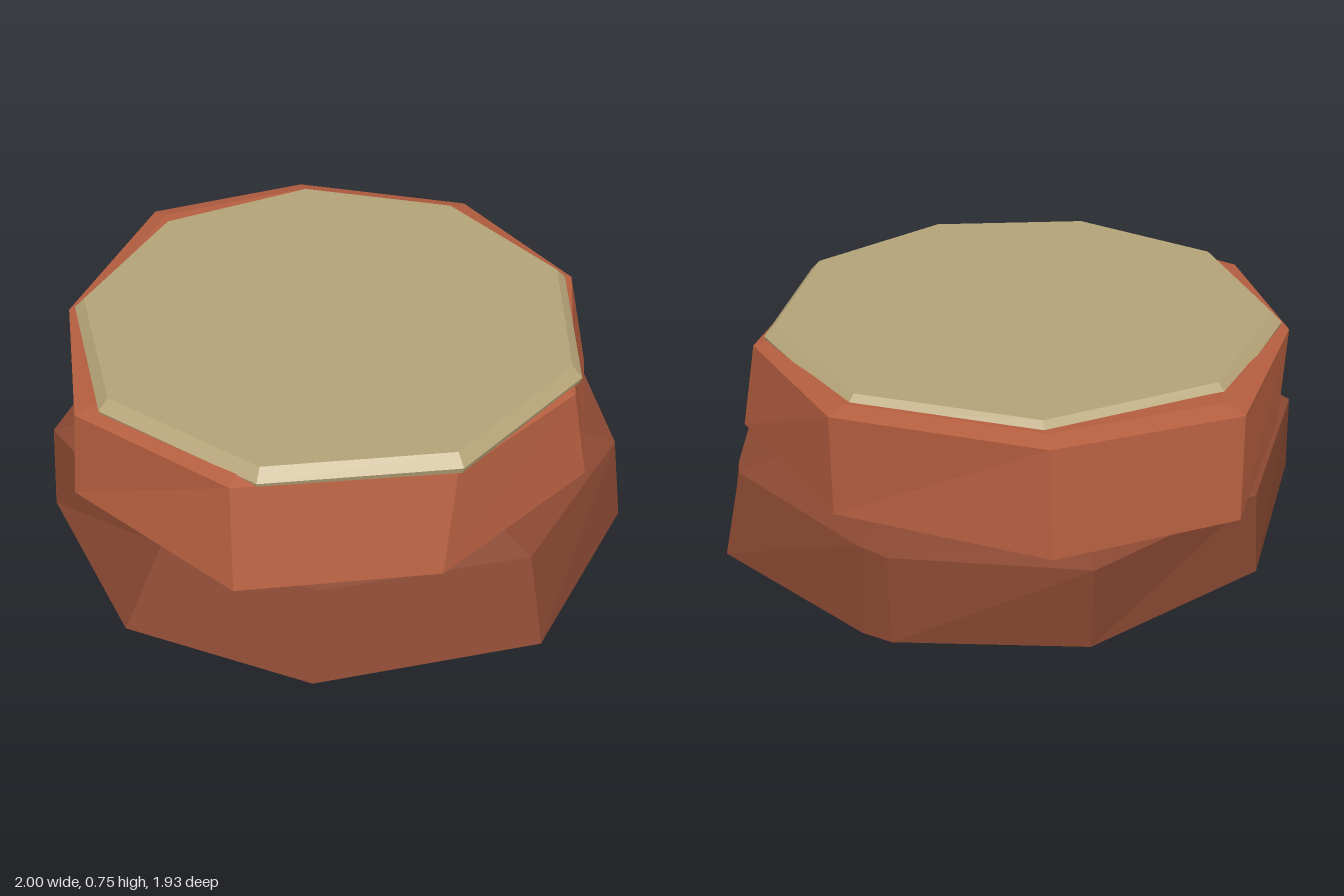
import * as THREE from 'three';

// Lofts rings of [x, y, z] corners into a closed faceted solid (flat normals).
function loft(rings) {
  const pos = [];
  const tri = (...pts) => pts.forEach((p) => pos.push(...p));
  const n = rings[0].length;
  const middle = (ring) => [0, 1, 2].map((k) => ring.reduce((s, p) => s + p[k], 0) / n);
  const low = rings[0], high = rings[rings.length - 1];
  const lowMid = middle(low), highMid = middle(high);
  for (let i = 0; i < n; i++) {
    const j = (i + 1) % n;
    tri(lowMid, low[j], low[i]);
    tri(highMid, high[i], high[j]);
    for (let r = 0; r + 1 < rings.length; r++) {
      const a = rings[r], b = rings[r + 1];
      tri(a[i], a[j], b[j]);
      tri(a[i], b[j], b[i]);
    }
  }
  const geo = new THREE.BufferGeometry();
  geo.setAttribute('position', new THREE.Float32BufferAttribute(pos, 3));
  geo.computeVertexNormals();
  return geo;
}

// Places an outline of [x, z, lift] at height y, scaled about the centre.
const ring = (outline, y, s = 1) => outline.map(([x, z, lift = 0]) => [x * s, y + lift, z * s]);

export function createModel() {
  const group = new THREE.Group();
  const material = (name, color) => {
    const m = new THREE.MeshStandardMaterial({ color, flatShading: true });
    m.name = name;
    return m;
  };
  const darkRock = material('dark brown rock', 0x8a4832);
  const redRock = material('red brown rock', 0xb65f40);
  const sand = material('dry sand', 0xb6a478);
  const add = (name, rings, mat) => {
    const mesh = new THREE.Mesh(loft(rings), mat);
    mesh.name = name;
    group.add(mesh);
  };

  // Lower slab, widest near the ground, with two chipped corners at the back left
  const lowerFoot = [[-0.17, 0.965], [0.56, 0.89], [0.98, 0.34], [0.99, -0.33], [1.0, -0.38],
    [0.53, -0.82], [0.44, -0.87], [-0.15, -0.93], [-0.73, -0.59], [-1.0, 0.06], [-0.74, 0.68]];
  const lowerRim = [[-0.14, 0.865], [0.52, 0.8], [0.935, 0.3], [0.94, -0.29], [0.93, -0.36],
    [0.53, -0.79], [0.44, -0.86], [-0.15, -0.96], [-0.7, -0.6], [-0.97, 0.02], [-0.6, 0.62]];
  add('lowerSlab', [ring(lowerFoot, 0, 0.96), ring(lowerFoot, 0.03), ring(lowerRim, 0.33),
    ring(lowerRim, 0.355, 0.88)], darkRock);

  // Upper slab, turned against the lower one, its back rim a little higher
  const upperFoot = [[-0.39, 0.88], [0.23, 0.88], [0.77, 0.49], [0.94, -0.12], [0.6, -0.69],
    [-0.03, -0.965], [-0.6, -0.8], [-0.86, -0.22], [-0.87, 0.4]];
  const upperRim = [[-0.38, 0.8, 0.01], [0.27, 0.8], [0.7, 0.48], [0.87, -0.18], [0.59, -0.71, 0.02],
    [-0.02, -0.935, 0.02], [-0.59, -0.78, 0.02], [-0.88, -0.17], [-0.83, 0.41]];
  add('upperSlab', [ring(upperFoot, 0.34, 0.92), ring(upperFoot, 0.375), ring(upperRim, 0.695),
    ring(upperRim, 0.71, 0.93)], redRock);

  // Nine-sided bevelled sand cap with one corner at the back
  const cap = Array.from({ length: 9 }, (_, i) => {
    const a = Math.PI + (i * Math.PI * 2) / 9;
    return [Math.sin(a), Math.cos(a)];
  });
  const capRing = (y, r) => ring(cap, y, r).map(([x, h, z]) => [x - 0.01, h, z - 0.005]);
  add('sandCap', [capRing(0.66, 0.8), capRing(0.695, 0.855), capRing(0.715, 0.86), capRing(0.75, 0.825)], sand);
  return group;
}
